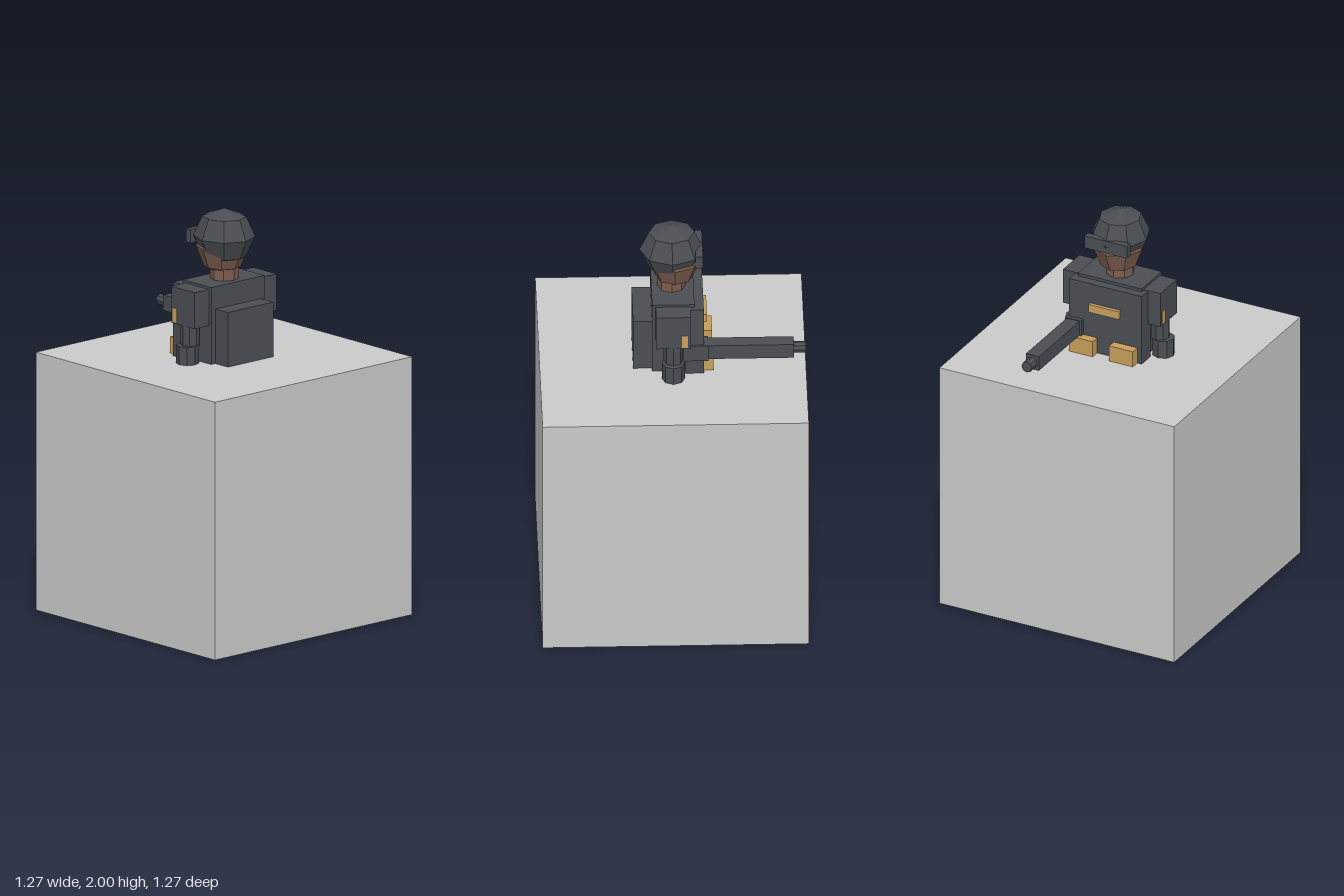
import * as THREE from 'three';

export function createModel() {
  const model = new THREE.Group();
  model.name = 'guardOnBlock';

  const paint = (name, color) => {
    const m = new THREE.MeshStandardMaterial({ color, flatShading: true });
    m.name = name;
    return m;
  };
  const stone = paint('pale grey', 0xcacaca);
  const dark = paint('charcoal', 0x4a4e53);
  const skin = paint('brown skin', 0x7d5e4e);
  const tan = paint('tan canvas', 0xc89f5a);

  const add = (name, geometry, material, x = 0, y = 0, z = 0) => {
    const mesh = new THREE.Mesh(geometry, material);
    mesh.name = name;
    mesh.position.set(x, y, z);
    model.add(mesh);
    return mesh;
  };
  // Box given by its limits on each axis
  const box = (name, material, [x0, x1], [y0, y1], [z0, z1]) =>
    add(name, new THREE.BoxGeometry(x1 - x0, y1 - y0, z1 - z0), material,
      (x0 + x1) / 2, (y0 + y1) / 2, (z0 + z1) / 2);
  // Upright eight-sided post
  const post = (name, material, r, y0, y1, x, z) =>
    add(name, new THREE.CylinderGeometry(r, r, y1 - y0, 8), material, x, (y0 + y1) / 2, z);
  // Faceted ellipsoid
  const ball = (name, material, rx, ry, rz, y, z) =>
    add(name, new THREE.SphereGeometry(1, 8, 4).scale(rx, ry, rz), material, 0, y, z);

  const TOP = 1.275;   // top of the block
  const SUNK = 1.22;   // parts run a little way into the block

  box('block', stone, [-0.637, 0.637], [0, TOP], [-0.637, 0.637]);

  // Head, the figure looks toward -z
  ball('helmet', dark, 0.143, 0.137, 0.155, 1.863, 0.002);
  ball('head', skin, 0.125, 0.137, 0.13, 1.81, -0.012);
  box('goggles', dark, [-0.115, 0.115], [1.825, 1.89], [-0.145, -0.11]);
  post('neck', skin, 0.068, 1.62, 1.74, 0, 0.003);

  // Body and gear
  box('torso', dark, [-0.173, 0.173], [SUNK, 1.655], [-0.103, 0.1]);
  box('vest', dark, [-0.197, 0.197], [SUNK, 1.64], [-0.147, -0.06]);
  box('backpack', dark, [-0.147, 0.147], [SUNK, 1.545], [0.1, 0.19]);
  box('chestLabel', tan, [-0.083, 0.083], [1.495, 1.537], [-0.165, -0.147]);

  // Paired parts
  for (const s of [-1, 1]) {
    const side = s > 0 ? 'left' : 'right';
    const span = (a, b) => (s > 0 ? [a, b] : [-b, -a]);
    box(side + 'UpperArm', dark, span(0.172, 0.265), [1.463, 1.643], [-0.083, 0.083]);
    box(side + 'ArmPatch', tan, span(0.262, 0.269), [1.47, 1.54], [-0.07, -0.04]);
    post(side + 'Forearm', dark, 0.046, 1.36, 1.47, s * 0.219, 0);
    post(side + 'Glove', dark, 0.055, SUNK, 1.365, s * 0.236, 0);
    box(side + 'Pouch', tan, span(0.045, 0.173), [SUNK, 1.357], [-0.193, -0.147]);
  }

  // Gun held on the +x side, pointing toward -z
  box('gunReceiver', dark, [0.12, 0.208], [1.352, 1.438], [-0.168, -0.05]);
  box('gunBarrel', dark, [0.13, 0.2], [1.358, 1.434], [-0.578, -0.16]);
  const muzzle = add('gunMuzzle', new THREE.CylinderGeometry(0.028, 0.028, 0.067, 8), dark,
    0.165, 1.396, -0.6025);
  muzzle.rotation.x = Math.PI / 2;

  return model;
}
